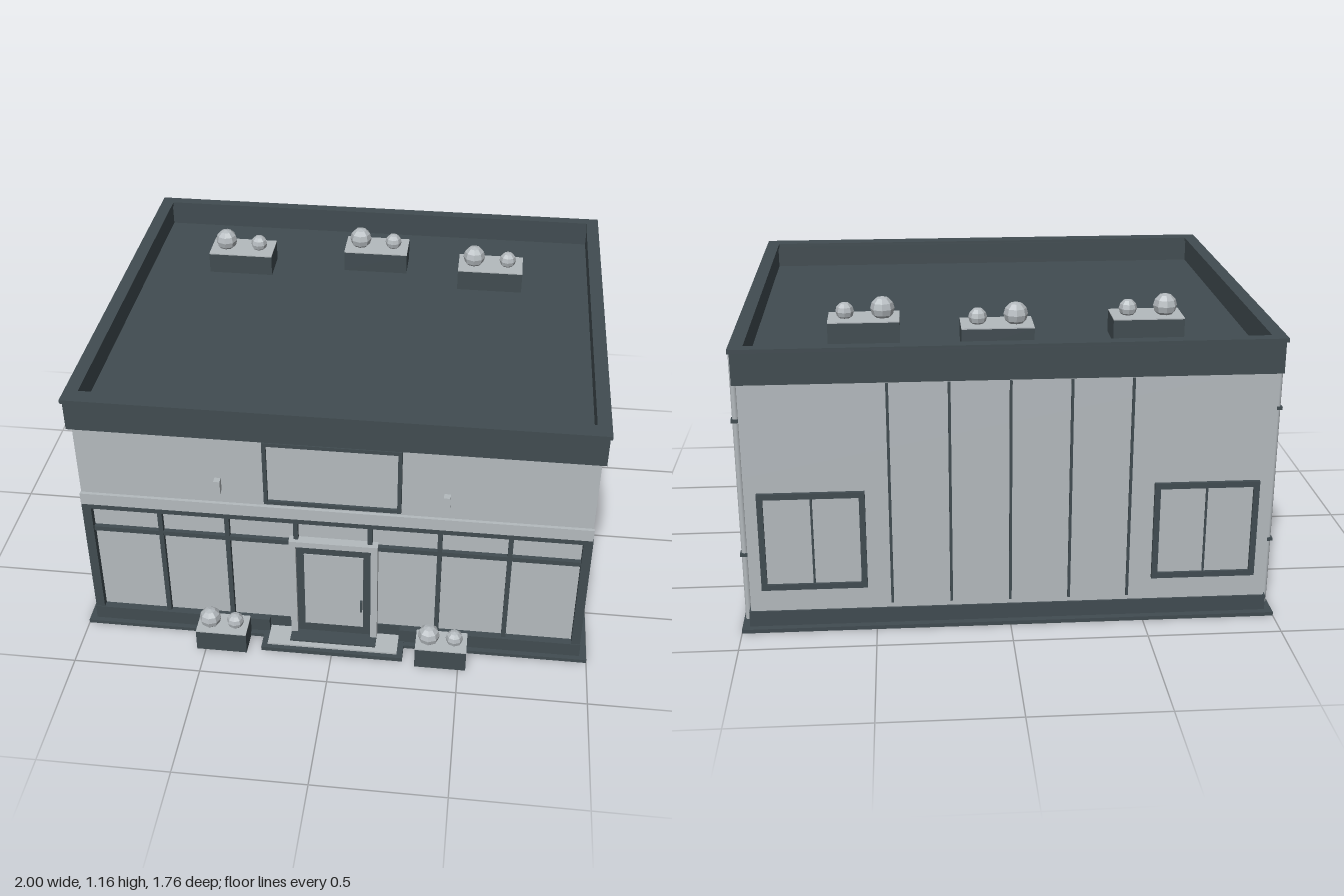
import * as THREE from 'three';

export function createModel() {
  const root = new THREE.Group();
  root.name = 'shopBuilding';
  const mat = (name, color) => {
    const m = new THREE.MeshStandardMaterial({ color });
    m.name = name;
    return m;
  };
  const dark = mat('darkSlate', 0x414c51);
  const light = mat('lightGrey', 0xb4babe);
  const bush = light.clone();
  bush.name = 'lightGreyFaceted';
  bush.flatShading = true;

  const add = (name, geo, m, parent = root) => {
    const mesh = new THREE.Mesh(geo, m);
    mesh.name = name;
    parent.add(mesh);
    return mesh;
  };
  const group = (name, parent = root) => {
    const g = new THREE.Group();
    g.name = name;
    parent.add(g);
    return g;
  };
  // Box given by its limits on each axis
  const box = (name, m, [x0, x1], [y0, y1], [z0, z1], parent = root) => {
    const mesh = add(name, new THREE.BoxGeometry(x1 - x0, y1 - y0, z1 - z0), m, parent);
    mesh.position.set((x0 + x1) / 2, (y0 + y1) / 2, (z0 + z1) / 2);
    return mesh;
  };
  // Horizontal rectangular ring
  const ring = (name, [ox, ob, of], [ix, ib, inf], [y0, y1]) => {
    const s = new THREE.Shape([[-ox, -of], [ox, -of], [ox, -ob], [-ox, -ob]].map(p => new THREE.Vector2(...p)));
    s.holes.push(new THREE.Path([[-ix, -inf], [-ix, -ib], [ix, -ib], [ix, -inf]].map(p => new THREE.Vector2(...p))));
    const geo = new THREE.ExtrudeGeometry(s, { depth: y1 - y0, bevelEnabled: false }).rotateX(-Math.PI / 2);
    add(name, geo, dark).position.y = y0;
  };
  // Upright rectangular frame of four bars
  const frame = (name, m, [x0, x1], [y0, y1], [z0, z1], t, parent) => {
    const g = group(name, parent);
    box('leftBar', m, [x1 - t, x1], [y0, y1], [z0, z1], g);
    box('rightBar', m, [x0, x0 + t], [y0, y1], [z0, z1], g);
    box('topBar', m, [x0 + t, x1 - t], [y1 - t, y1], [z0, z1], g);
    box('bottomBar', m, [x0 + t, x1 - t], [y0, y0 + t], [z0, z1], g);
  };

  // Base, plinth and walls
  box('groundSlab', dark, [-1, 1], [0, 0.015], [-0.88, 0.785]);
  box('plinth', dark, [-0.972, 0.972], [0.015, 0.075], [-0.855, 0.74]);
  for (const s of [-1, 1]) {
    const [a, b] = [s * 0.26, s * 0.972].sort((p, q) => p - q);
    box('frontPlinth', dark, [a, b], [0.015, 0.075], [0.74, 0.765]);
  }
  box('lowerWalls', light, [-0.965, 0.965], [0.075, 0.61], [-0.848, 0.735]);
  box('upperWalls', light, [-0.965, 0.965], [0.61, 0.99], [-0.848, 0.757]);
  box('frontLedge', light, [-0.968, 0.968], [0.61, 0.66], [0.757, 0.77]);

  // Roof with open parapet
  box('roofDeck', dark, [-0.96, 0.96], [0.965, 0.995], [-0.84, 0.74]);
  ring('fascia', [0.98, -0.86, 0.778], [0.94, -0.828, 0.725], [0.966, 1.09]);
  ring('parapetCap', [0.987, -0.87, 0.787], [0.935, -0.825, 0.72], [1.085, 1.1]);

  // Shopfront framing
  const shop = group('shopfront');
  for (const s of [-1, 1]) {
    const [a, b] = [s * 0.935, s * 0.97].sort((p, q) => p - q);
    box('cornerPost', dark, [a, b], [0.075, 0.61], [0.722, 0.762], shop);
  }
  box('topBeam', dark, [-0.935, 0.935], [0.583, 0.61], [0.73, 0.762], shop);
  box('transom', dark, [-0.935, 0.935], [0.468, 0.488], [0.73, 0.753], shop);
  for (const x of [-0.67, -0.41, -0.145, 0.14, 0.405, 0.67])
    box('mullion', dark, [x - 0.009, x + 0.009], [0.075, 0.585], [0.73, 0.755], shop);

  // Entrance
  const door = group('entrance');
  for (const s of [-1, 1])
    box('doorSurround', light, [s * 0.158 - 0.013, s * 0.158 + 0.013], [0.03, 0.5], [0.735, 0.772], door);
  box('doorSurroundTop', light, [-0.145, 0.145], [0.475, 0.5], [0.735, 0.772], door);
  box('doorLeaf', dark, [-0.145, 0.145], [0.025, 0.475], [0.735, 0.756], door);
  box('doorGlass', light, [-0.115, 0.115], [0.072, 0.432], [0.756, 0.759], door);
  box('doorHandle', dark, [0.104, 0.112], [0.165, 0.215], [0.759, 0.775], door);
  box('stepEdge', dark, [-0.28, 0.28], [0, 0.018], [0.74, 0.86], door);
  box('stepTop', light, [-0.257, 0.257], [0.018, 0.025], [0.74, 0.842], door);
  box('doorMat', dark, [-0.17, 0.17], [0.025, 0.032], [0.757, 0.82], door);

  // Blank sign board and wall lamps
  frame('signFrame', dark, [-0.257, 0.257], [0.68, 0.962], [0.757, 0.777], 0.015);
  box('signPanel', light, [-0.242, 0.242], [0.695, 0.947], [0.757, 0.766]);
  for (const s of [-1, 1]) {
    const lamp = group('wallLamp');
    lamp.position.x = s * 0.425;
    box('lampArm', dark, [-0.005, 0.005], [0.755, 0.765], [0.757, 0.785], lamp);
    box('lampHead', light, [-0.012, 0.012], [0.738, 0.792], [0.781, 0.807], lamp);
  }

  // Windows and wall seams are built facing +z, then turned onto each wall
  const window = (parent, cx, w) => {
    const g = group('window', parent);
    g.position.x = cx;
    frame('windowFrame', dark, [-w / 2, w / 2], [0.165, 0.55], [-0.01, 0.014], 0.022, g);
    box('windowGlass', light, [-w / 2 + 0.022, w / 2 - 0.022], [0.187, 0.528], [-0.01, 0.004], g);
    box('windowBar', dark, [-0.004, 0.004], [0.187, 0.528], [0.004, 0.008], g);
  };
  const seam = (parent, x) => box('wallSeam', dark, [x - 0.005, x + 0.005], [0.095, 0.96], [-0.005, 0.007], parent);

  for (const s of [-1, 1]) {
    const side = group(s > 0 ? 'leftSide' : 'rightSide');
    side.position.x = s * 0.965;
    side.rotation.y = s * Math.PI / 2;
    for (const z of [0.485, -0.04, -0.568]) window(side, -s * z, 0.272);
    for (const z of [0.275, -0.355]) seam(side, -s * z);

    // Downpipe with brackets
    const pipe = group('downpipe');
    pipe.position.set(s * 0.981, 0, -0.795);
    add('pipe', new THREE.CylinderGeometry(0.012, 0.012, 1.05, 10), light, pipe).position.y = 0.545;
    for (const y of [0.288, 0.815])
      box('pipeBracket', dark, [-0.016, 0.016], [y - 0.006, y + 0.006], [-0.017, 0.017], pipe);
  }
  const back = group('backSide');
  back.position.z = -0.848;
  back.rotation.y = Math.PI;
  for (const x of [-0.725, 0.725]) window(back, x, 0.39);
  for (const x of [-0.44, -0.22, 0, 0.22, 0.44]) seam(back, x);

  // Planters with two faceted round shrubs
  const planter = (name, x, y, z, w, d, h, gap, r1, r2) => {
    const g = group(name);
    g.position.set(x, y, z);
    box('planterBox', dark, [-w / 2, w / 2], [0, h], [-d / 2, d / 2], g);
    box('planterTop', light, [-w / 2, w / 2], [h, h + 0.004], [-d / 2, d / 2], g);
    [[-gap, r1], [gap, r2]].forEach(([sx, r]) =>
      add('shrub', new THREE.SphereGeometry(r, 8, 6), bush, g).position.set(sx, h + r * 0.8, 0));
  };
  planter('frontPlanter', -0.435, 0, 0.825, 0.2, 0.11, 0.09, 0.05, 0.043, 0.034);
  planter('frontPlanter', 0.43, 0, 0.825, 0.2, 0.11, 0.09, 0.05, 0.043, 0.034);
  for (const [x, z] of [[-0.545, -0.465], [0.03, -0.545], [0.525, -0.435]])
    planter('roofPlanter', x, 0.995, z, 0.27, 0.147, 0.085, 0.071, 0.046, 0.035);

  return root;
}
